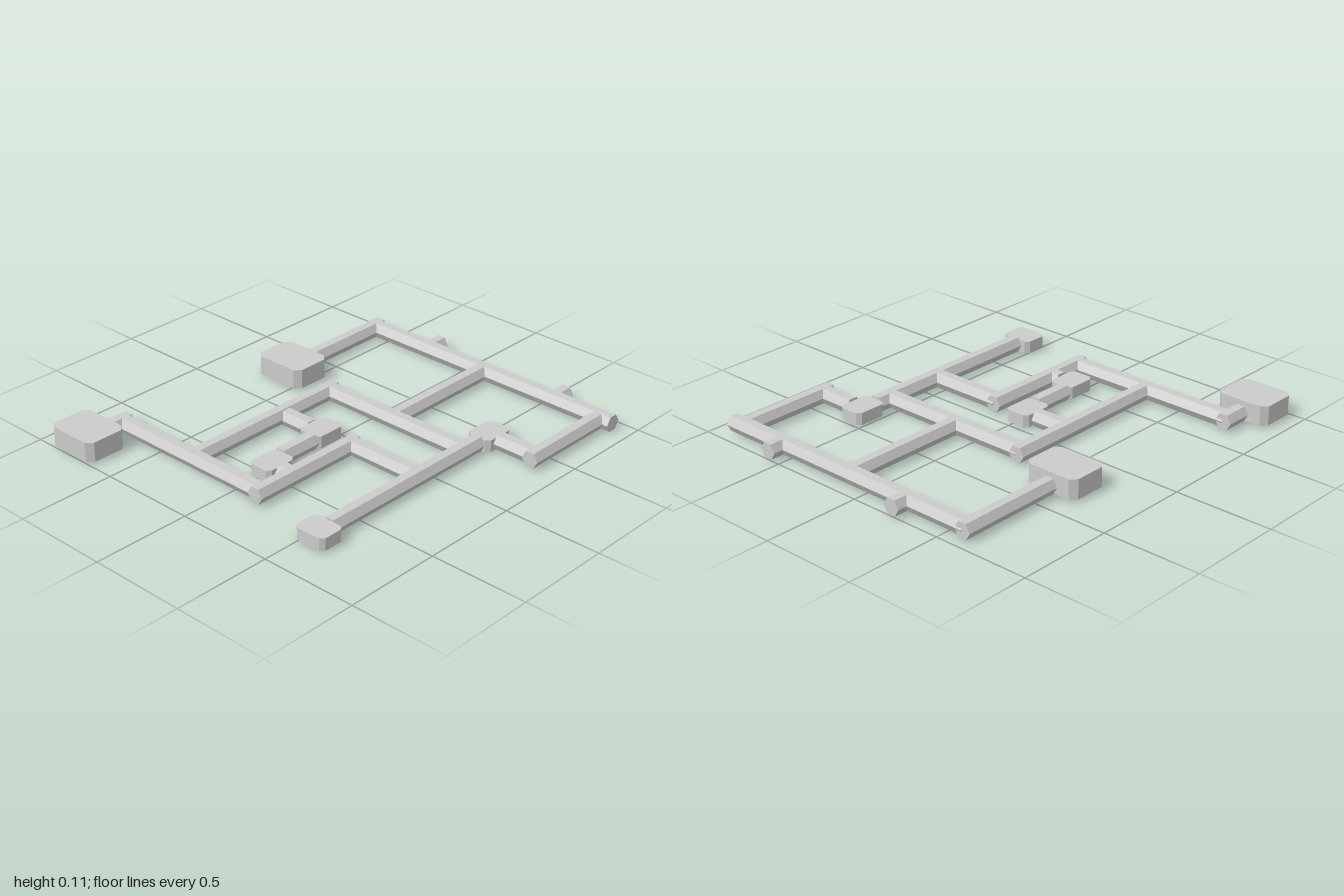
import * as THREE from 'three';

const material = new THREE.MeshStandardMaterial({ color: 0xcccccc, flatShading: true });
const RADIUS = 0.0445;
const AXIS_HEIGHT = 0.0445;

// Hexagonal corridor with flat top and bottom, running along x or z
function corridor(name, along, fixed, from, to, height = AXIS_HEIGHT) {
  const geometry = new THREE.CylinderGeometry(RADIUS, RADIUS, to - from, 6);
  geometry.rotateY(Math.PI / 6).rotateX(Math.PI / 2);
  if (along === 'x') geometry.rotateY(Math.PI / 2);
  const mesh = new THREE.Mesh(geometry, material);
  const middle = (from + to) / 2;
  if (along === 'x') mesh.position.set(middle, height, fixed);
  else mesh.position.set(fixed, height, middle);
  mesh.name = name;
  return mesh;
}

// Flat room with cut corners in plan
function room(name, x0, x1, z0, z1, top, cut) {
  const a = (x1 - x0) / 2, b = (z1 - z0) / 2;
  const outline = [
    [a - cut, -b], [a, cut - b], [a, b - cut], [a - cut, b],
    [cut - a, b], [-a, b - cut], [-a, cut - b], [cut - a, -b],
  ].map(([x, y]) => new THREE.Vector2(x, y));
  const geometry = new THREE.ExtrudeGeometry(new THREE.Shape(outline), {
    depth: top - 0.01, bevelEnabled: false,
  });
  geometry.rotateX(-Math.PI / 2);
  const mesh = new THREE.Mesh(geometry, material);
  mesh.position.set((x0 + x1) / 2, 0.01, (z0 + z1) / 2);
  mesh.name = name;
  return mesh;
}

export function createModel() {
  const model = new THREE.Group();
  model.name = 'corridorNetwork';

  // Corridors running side to side: name, z, x start, x end
  [
    ['backCorridor', -0.905, -0.595, 0.917],
    ['backRoomLink', -0.407, 0.632, 0.843],
    ['middleCorridor', -0.227, -0.29, 0.568],
    ['innerRightCorridor', 0.097, 0.153, 0.568],
    ['innerRoomStub', 0.482, 0.087, 0.153],
    ['frontCorridor', 0.677, -0.78, 0.153],
  ].forEach(([name, z, x0, x1]) => model.add(corridor(name, 'x', z, x0, x1)));
  model.add(corridor('innerLeftCorridor', 'x', 0.097, -0.29, -0.098, 0.0386));

  // Corridors running front to back: name, x, z start, z end
  [
    ['backStubRight', -0.23, -1, -0.905],
    ['backStubLeft', 0.57, -1, -0.905],
    ['backRightCorridor', -0.597, -0.945, -0.385],
    ['backCentreCorridor', 0.127, -0.905, -0.227],
    ['backLeftCorridor', 0.843, -0.905, -0.362],
    ['longCorridor', 0.568, -0.323, 0.675],
    ['middleRightCorridor', -0.29, -0.268, 0.677],
    ['innerRoomLink', -0.007, 0.185, 0.395],
    ['innerFrontCorridor', 0.153, 0.058, 0.72],
    ['frontRoomLink', -0.78, 0.637, 0.78],
  ].forEach(([name, x, z0, z1]) => model.add(corridor(name, 'z', x, z0, z1)));

  // Two tall large rooms and four low small rooms
  model.add(
    room('largeBackRoom', -0.737, -0.45, -0.39, -0.17, 0.11, 0.03),
    room('largeFrontRoom', -0.92, -0.638, 0.777, 1, 0.11, 0.03),
    room('smallBackRoom', 0.5, 0.632, -0.497, -0.323, 0.072, 0.02),
    room('smallFrontRoom', 0.482, 0.652, 0.673, 0.81, 0.072, 0.02),
    room('innerBackRoom', -0.098, 0.034, 0.016, 0.187, 0.072, 0.02),
    room('innerFrontRoom', -0.045, 0.087, 0.393, 0.566, 0.072, 0.02),
  );
  return model;
}
